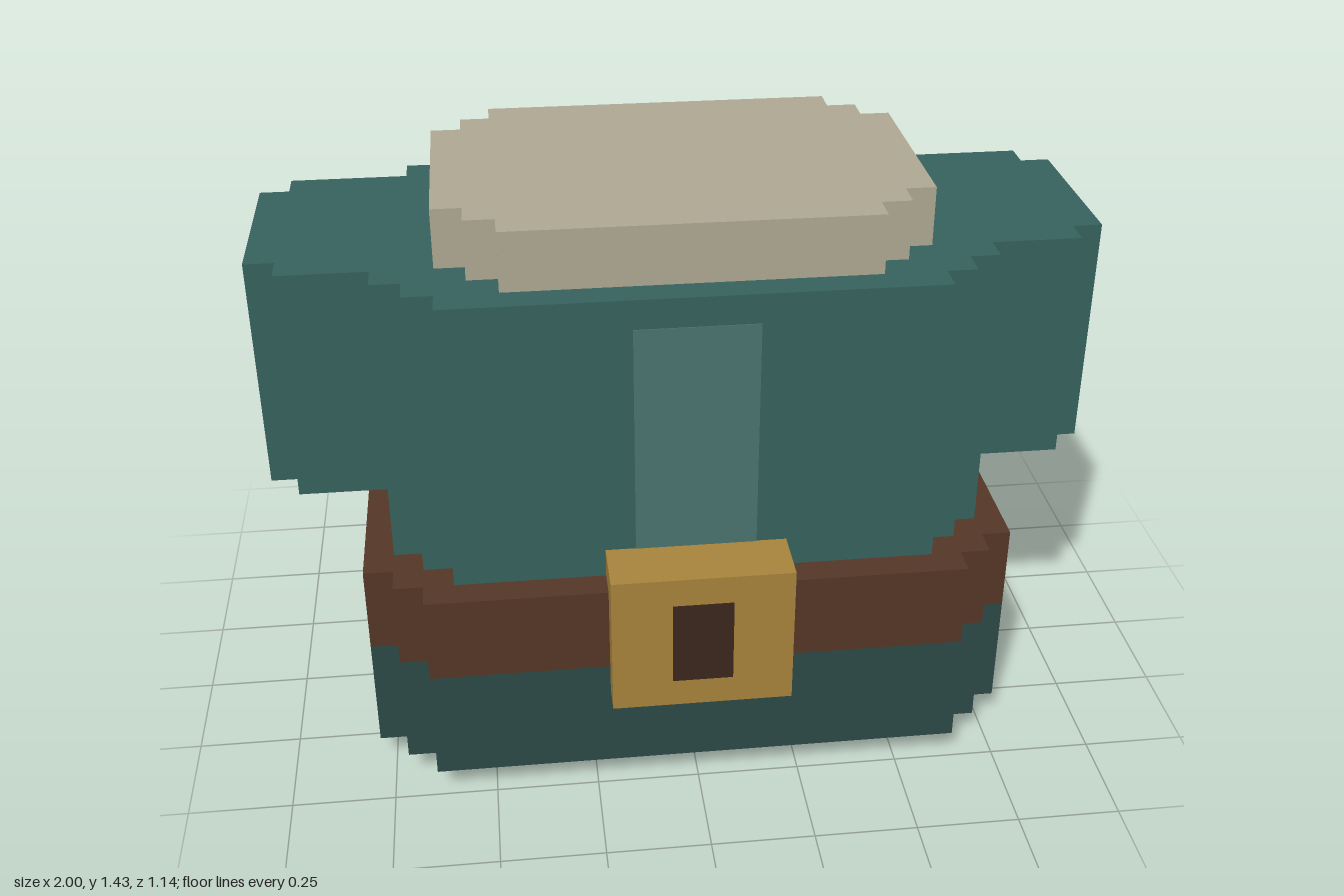
import * as THREE from 'three';

const U = 1 / 14; // one voxel

const paint = (color) => new THREE.MeshStandardMaterial({ color, flatShading: true });
const teal = paint(0x37625d);
const darkTeal = paint(0x2d4a46);
const leather = paint(0x553726);
const gold = paint(0xa8843c);
const linen = paint(0xb0a894);
const darkCloth = paint(0x3b3433);
const lightTeal = paint(0x4a746f);
const darkLeather = paint(0x3b271c);

// Upright prism from an (x, z) outline in voxels, between heights y0 and y1
function prism(name, outline, y0, y1, material) {
  const shape = new THREE.Shape(outline.map(([x, z]) => new THREE.Vector2(x * U, z * U)));
  const geometry = new THREE.ExtrudeGeometry(shape, { depth: (y1 - y0) * U, bevelEnabled: false });
  geometry.rotateX(Math.PI / 2).translate(0, y1 * U, 0);
  const mesh = new THREE.Mesh(geometry, material);
  mesh.name = name;
  return mesh;
}

// Rectangle with half width w, whose corners are cut by two one-voxel steps
function steppedOutline(w, back, front) {
  const corner = (z, s) => [[w, z - 2 * s], [w - 1, z - 2 * s], [w - 1, z - s], [w - 2, z - s], [w - 2, z]];
  const right = [...corner(back, -1).reverse(), ...corner(front, 1)];
  const left = right.map(([x, z]) => [-x, z]).reverse();
  return [...right, ...left];
}

// Box from its lower and upper corners in voxels
function block(name, [x0, y0, z0], [x1, y1, z1], material) {
  const mesh = new THREE.Mesh(new THREE.BoxGeometry((x1 - x0) * U, (y1 - y0) * U, (z1 - z0) * U), material);
  mesh.position.set((x0 + x1) / 2, (y0 + y1) / 2, (z0 + z1) / 2).multiplyScalar(U);
  mesh.name = name;
  return mesh;
}

export function createModel() {
  const model = new THREE.Group();
  model.name = 'tunicTorso';

  // Body layers from the bottom up
  model.add(
    block('base', [-8, 0, -5], [8, 1, 2], darkCloth),
    prism('skirt', steppedOutline(11, -8, 7), 1, 5, darkTeal),
    prism('belt', steppedOutline(11, -8, 7), 5, 8, leather),
    prism('chest', steppedOutline(10, -7, 6), 8, 18, teal),
    prism('collar', steppedOutline(8, -6, 5), 18, 20, linen),
  );

  // Sleeves, narrowed by one voxel at the outer end
  const sleeve = [[10, -5], [13, -5], [13, -4], [14, -4], [14, 2], [13, 2], [13, 3], [10, 3]];
  for (const [name, side] of [['leftSleeve', 1], ['rightSleeve', -1]]) {
    model.add(prism(name, sleeve.map(([x, z]) => [x * side, z]), 10, 18, teal));
  }

  // Light chest stripe, buckle and its dark centre
  model.add(
    block('chestStripe', [-2, 8, 5.9], [2, 17, 6.03], lightTeal),
    block('buckle', [-3, 4, 6], [3, 9, 8], gold),
    block('buckleCentre', [-1, 5, 7.9], [1, 8, 8.03], darkLeather),
  );
  return model;
}
